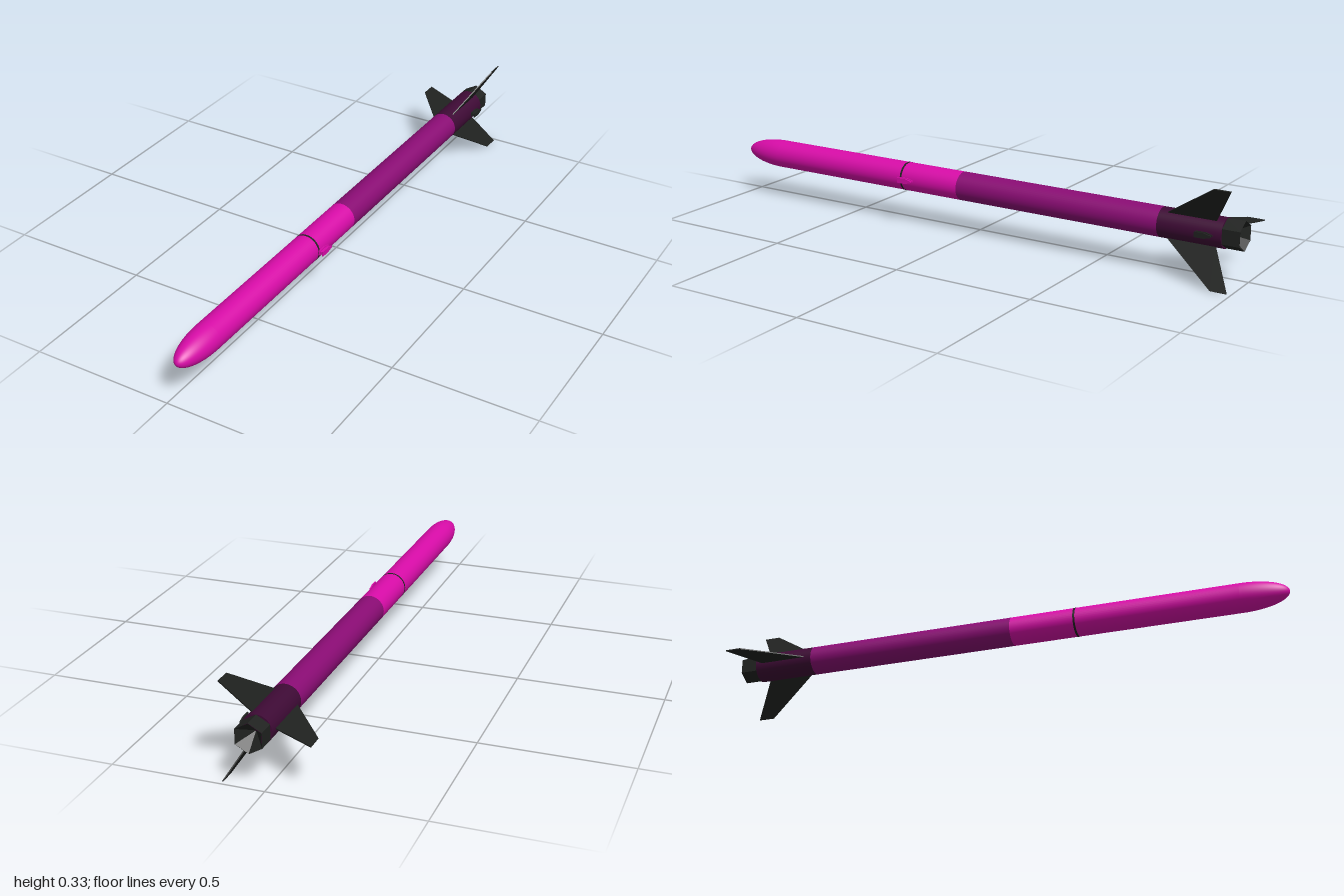
import * as THREE from 'three';

const mat = (name, color, side = THREE.FrontSide) => {
  const m = new THREE.MeshStandardMaterial({ color, side });
  m.name = name;
  return m;
};

export function createModel() {
  const magenta = mat('bright magenta', 0xd80ca8);
  const purple = mat('purple', 0x8a0c74);
  const plum = mat('dark plum', 0x3e0a35);
  const black = mat('charcoal', 0x202220, THREE.DoubleSide);

  const R = 0.05;
  const model = new THREE.Group();
  model.name = 'rocket';
  // Everything is built around the z axis, then moved to the rocket's axis
  const rocket = new THREE.Group();
  rocket.name = 'airframe';
  rocket.position.set(0.046, 0.165, 0);
  model.add(rocket);

  const add = (name, geo, material, parent = rocket) => {
    const m = new THREE.Mesh(geo, material);
    m.name = name;
    parent.add(m);
    return m;
  };
  // Cylinder along z between two stations
  const tube = (name, z0, z1, r, material, open = false) => {
    const g = new THREE.CylinderGeometry(r, r, z1 - z0, 48, 1, open);
    g.rotateX(Math.PI / 2).translate(0, 0, (z0 + z1) / 2);
    return add(name, g, material);
  };

  // Body tubes
  tube('lowerBodyTube', -0.72, 0.04, R, purple);
  tube('upperBodyTube', 0.04, 0.84, R, magenta, true);
  tube('jointRing', 0.268, 0.275, R + 0.0006, black);
  tube('finCan', -0.94, -0.72, R, plum);

  // Rounded nose
  const profile = [];
  for (let i = 0; i <= 20; i++) {
    const a = (i / 20) * Math.PI / 2;
    profile.push(new THREE.Vector2(R * Math.cos(a), 0.84 + 0.16 * Math.sin(a)));
  }
  add('noseCone', new THREE.LatheGeometry(profile, 48).rotateX(Math.PI / 2), magenta);

  // Six-sided tail with a hollow tapering inside
  const hex = (rFront, rBack, z0, z1) => {
    const g = new THREE.CylinderGeometry(rFront, rBack, z1 - z0, 6, 1, true);
    return g.rotateX(Math.PI / 2).translate(0, 0, (z0 + z1) / 2).toNonIndexed();
  };
  const flat = (g) => { g.computeVertexNormals(); return g; };
  add('tailShell', flat(hex(R, R, -1, -0.93)), black);
  add('tailNozzle', flat(hex(0.002, R - 0.001, -1, -0.945)), black);

  // Three swept fins: shape x is the radius, shape y is the station along z
  const outline = new THREE.Shape([
    [0.04, -0.735], [0.189, -0.93], [0.189, -0.987], [0.04, -0.91],
  ].map(([x, y]) => new THREE.Vector2(x, y)));
  const finGeo = new THREE.ExtrudeGeometry(outline, { depth: 0.004, bevelEnabled: false });
  finGeo.translate(0, 0, -0.002).rotateX(Math.PI / 2);
  for (let i = 0; i < 3; i++) {
    add('fin', finGeo, black).rotation.z = Math.PI / 3 + i * 2 * Math.PI / 3;
  }

  // Rail guides on the left side: foot, neck and head, pointed at the rear
  const guideLayer = (w, len, x0, x1) => {
    const s = new THREE.Shape();
    s.moveTo(len / 2, -w);
    s.lineTo(len / 2, w);
    s.lineTo(-len * 0.1, w);
    s.lineTo(-len / 2, w * 0.3);
    s.lineTo(-len / 2, -w * 0.3);
    s.lineTo(-len * 0.1, -w);
    s.closePath();
    const g = new THREE.ExtrudeGeometry(s, { depth: x1 - x0, bevelEnabled: false });
    // shape x becomes z, extrusion becomes x
    const turn = new THREE.Matrix4().makeBasis(
      new THREE.Vector3(0, 0, 1), new THREE.Vector3(0, 1, 0), new THREE.Vector3(-1, 0, 0));
    return g.applyMatrix4(turn).translate(x1, 0, 0);
  };
  for (const [z, material] of [[0.247, magenta], [-0.885, black]]) {
    const guide = new THREE.Group();
    guide.name = 'railGuide';
    guide.position.z = z;
    rocket.add(guide);
    add('guideFoot', guideLayer(0.008, 0.056, 0.046, 0.054), material, guide);
    add('guideNeck', guideLayer(0.004, 0.05, 0.053, 0.063), material, guide);
    add('guideHead', guideLayer(0.009, 0.056, 0.062, 0.067), material, guide);
  }
  return model;
}
